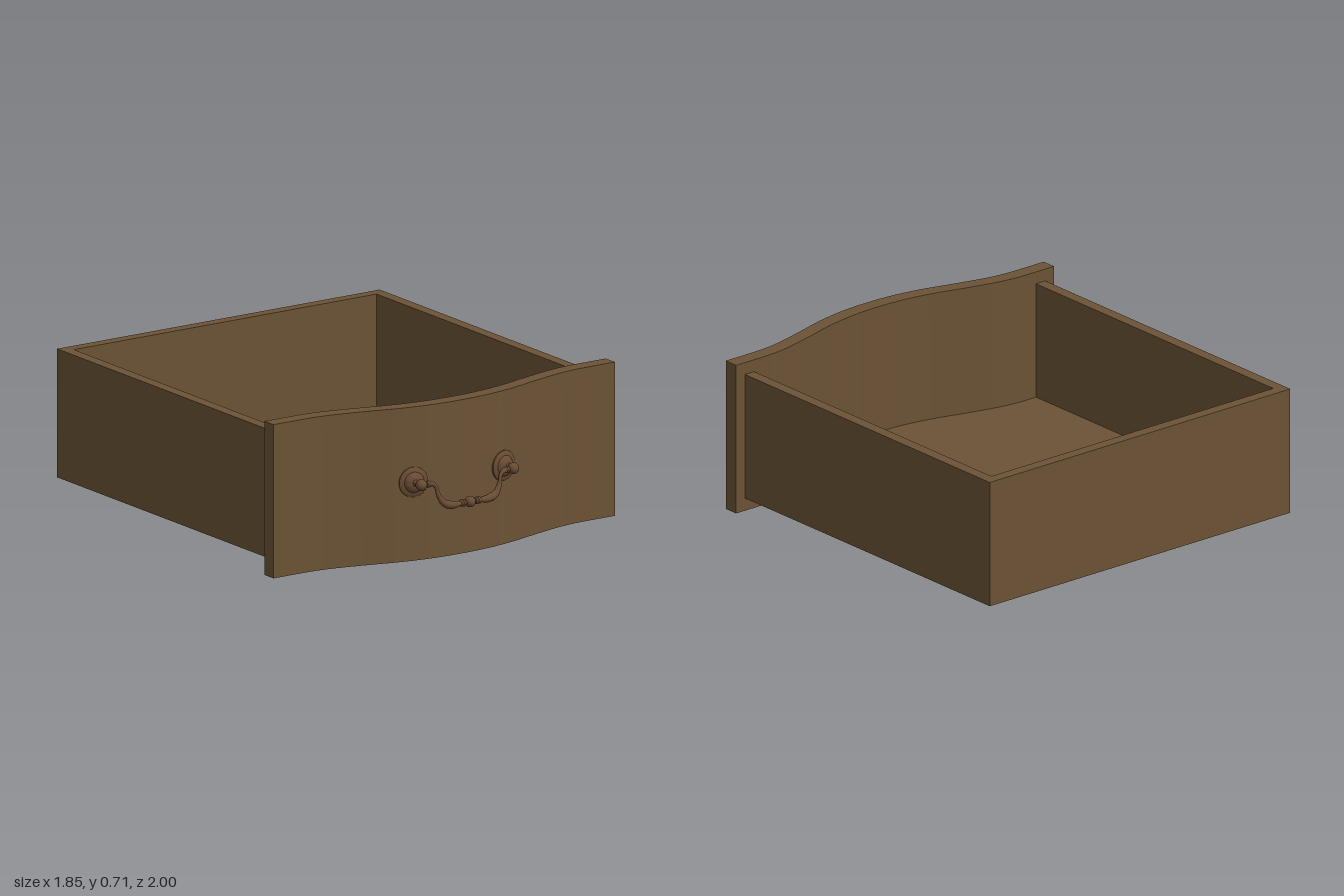
import * as THREE from 'three';
import { toCreasedNormals } from 'three/addons/utils/BufferGeometryUtils.js';

const wood = new THREE.MeshStandardMaterial({ color: 0x6b5335 });
wood.name = 'brown wood';
const metal = new THREE.MeshStandardMaterial({ color: 0x694b34 });
metal.name = 'aged bronze';

const V2 = (x, y) => new THREE.Vector2(x, y);
const V3 = (x, y, z) => new THREE.Vector3(x, y, z);

function part(parent, name, geometry, material, x = 0, y = 0, z = 0) {
  const mesh = new THREE.Mesh(geometry, material);
  mesh.name = name;
  mesh.position.set(x, y, z);
  parent.add(mesh);
  return mesh;
}

// Plan outline (x, z) raised from y0 to y1
function slab(outline, y0, y1) {
  const geo = new THREE.ExtrudeGeometry(new THREE.Shape(outline), { depth: y1 - y0, bevelEnabled: false });
  geo.rotateX(Math.PI / 2).translate(0, y1, 0);
  return toCreasedNormals(geo, 0.5);
}

// Bowed line across the drawer, running from -x to +x at depth z
function bow(z, halfWidth) {
  const half = [[halfWidth, 0], [0.79, 0], [0.7, 0.003], [0.6, 0.018], [0.45, 0.056], [0.3, 0.098], [0.15, 0.124]];
  const pts = [
    ...half.map(([x, d]) => V2(-x, z + d)),
    V2(0, z + 0.132),
    ...half.slice().reverse().map(([x, d]) => V2(x, z + d)),
  ];
  return new THREE.SplineCurve(pts).getPoints(56);
}

// Turned profile with its axis along +z
function turned(profile) {
  const geo = new THREE.LatheGeometry(profile.map(([r, h]) => V2(r, h)), 28);
  return toCreasedNormals(geo.rotateX(Math.PI / 2), 0.6);
}

// Tube whose radius follows a list of values along its length
function taperedTube(points, radii) {
  const curve = new THREE.CatmullRomCurve3(points);
  const rings = 48, sides = 14;
  const geo = new THREE.TubeGeometry(curve, rings, 1, sides, false);
  const pos = geo.attributes.position, v = V3(0, 0, 0);
  for (let i = 0; i <= rings; i++) {
    const centre = curve.getPointAt(i / rings);
    const t = (i / rings) * (radii.length - 1);
    const k = Math.min(Math.floor(t), radii.length - 2);
    const r = THREE.MathUtils.lerp(radii[k], radii[k + 1], t - k);
    for (let j = 0; j <= sides; j++) {
      const n = i * (sides + 1) + j;
      v.fromBufferAttribute(pos, n).sub(centre).multiplyScalar(r).add(centre);
      pos.setXYZ(n, v.x, v.y, v.z);
    }
  }
  geo.computeVertexNormals();
  return geo;
}

function createHandle() {
  const handle = new THREE.Group();
  handle.name = 'handle';
  const rosette = turned([[0.07, -0.006], [0.07, 0.003], [0.064, 0.008], [0.048, 0.01], [0.043, 0.018],
    [0.034, 0.025], [0.02, 0.03], [0, 0.031]]);
  const post = turned([[0.024, 0], [0.018, 0.008], [0.012, 0.02], [0.011, 0.04], [0.014, 0.052]]);
  const ball = new THREE.SphereGeometry(0.026, 24, 16);
  const collar = new THREE.TorusGeometry(0.011, 0.006, 10, 20).rotateY(Math.PI / 2);

  for (const s of [-1, 1]) {
    part(handle, 'rosette', rosette, metal, s * 0.245, 0.365, 0.884).rotation.y = s * 0.2;
    part(handle, 'post', post, metal, s * 0.25, 0.367, 0.9);
    part(handle, 'postBall', ball, metal, s * 0.25, 0.367, 0.953);
    part(handle, 'pivotCollar', collar, metal, s * 0.216, 0.367, 0.955);

    // Drop arm: thin at the pivot, swelling along the grip
    const arm = taperedTube([
      V3(s * 0.235, 0.367, 0.954), V3(s * 0.2, 0.367, 0.957), V3(s * 0.177, 0.352, 0.96),
      V3(s * 0.165, 0.31, 0.966), V3(s * 0.14, 0.272, 0.972), V3(s * 0.1, 0.257, 0.975),
      V3(s * 0.05, 0.257, 0.975), V3(0, 0.257, 0.975),
    ], [0.009, 0.013, 0.009, 0.009, 0.012, 0.016, 0.019, 0.017, 0.012, 0.01, 0.01]);
    part(handle, 'bailArm', arm, metal);

    for (const x of [0.034, 0.047]) part(handle, 'gripCollar', collar, metal, s * x, 0.257, 0.975);
  }
  part(handle, 'gripBead', new THREE.SphereGeometry(0.025, 24, 16), metal, 0, 0.257, 0.975);
  return handle;
}

export function createModel() {
  const model = new THREE.Group();
  model.name = 'drawer';

  // Bowed front panel
  const panel = [...bow(0.772, 0.927), ...bow(0.7, 0.927).reverse()];
  part(model, 'frontPanel', slab(panel, 0, 0.712), wood);

  // Floor reaching the curved back of the panel
  const floor = [V2(-0.876, -1), ...bow(0.7, 0.876), V2(0.876, -1)];
  part(model, 'floor', slab(floor, 0.06, 0.11), wood);

  // Side and back walls
  const wallHeight = 0.545, wallY = 0.11 + wallHeight / 2;
  for (const s of [-1, 1]) {
    part(model, 'sideWall', new THREE.BoxGeometry(0.054, wallHeight, 1.7), wood, s * 0.849, wallY, -0.15);
  }
  part(model, 'backWall', new THREE.BoxGeometry(1.644, wallHeight, 0.054), wood, 0, wallY, -0.973);

  model.add(createHandle());
  return model;
}
